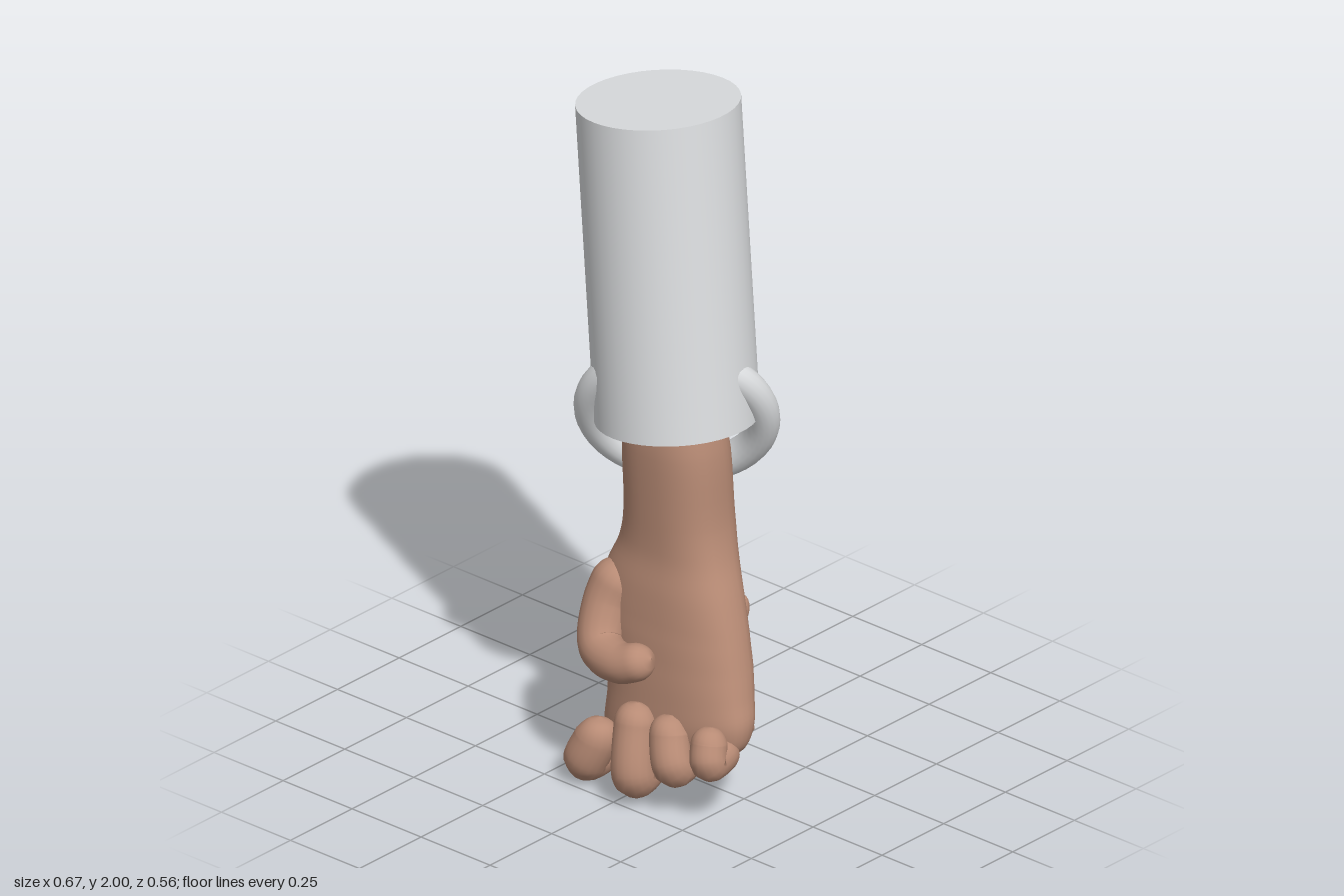
import * as THREE from 'three';
import { mergeVertices } from 'three/addons/utils/BufferGeometryUtils.js';

const V = (x, y, z) => new THREE.Vector3(x, y, z);

// Weld the seam and smooth the normals
function smooth(geo) {
  geo.deleteAttribute('uv');
  geo.deleteAttribute('normal');
  const g = mergeVertices(geo, 1e-5);
  g.computeVertexNormals();
  return g;
}

// Tapered tube with rounded ends along a curve through the given points
function digit(points, r0, r1) {
  const curve = new THREE.CatmullRomCurve3(points.map((p) => V(...p)));
  const n = 48, sides = 18, len = curve.getLength();
  const geo = new THREE.TubeGeometry(curve, n, 1, sides, false);
  const pos = geo.attributes.position, v = V(0, 0, 0);
  for (let i = 0; i <= n; i++) {
    const t = i / n, c = curve.getPointAt(t);
    const r = r0 + (r1 - r0) * t;
    const k = Math.max(0, 1 - Math.min(t, 1 - t) * len / r);
    const radius = Math.max(0.002, r * Math.sqrt(1 - k * k));
    for (let j = 0; j <= sides; j++) {
      const a = i * (sides + 1) + j;
      v.fromBufferAttribute(pos, a).sub(c).multiplyScalar(radius).add(c);
      pos.setXYZ(a, v.x, v.y, v.z);
    }
  }
  return smooth(geo);
}

// Forearm and palm lofted from rounded cross-sections
function handBody() {
  // y, left x, right x, back z, front z, slope of the section across x
  const rows = [
    [1.12, -0.13, 0.13, -0.11, 0.11, 0],
    [1.0, -0.15, 0.155, -0.125, 0.12, 0],
    [0.8, -0.15, 0.168, -0.13, 0.115, 0],
    [0.7, -0.165, 0.19, -0.12, 0.115, 0],
    [0.6, -0.205, 0.228, -0.105, 0.13, 0],
    [0.5, -0.22, 0.262, -0.09, 0.14, 0],
    [0.4, -0.192, 0.288, -0.075, 0.15, 0.05],
    [0.3, -0.17, 0.308, -0.055, 0.16, 0.15],
    [0.2, -0.175, 0.325, -0.03, 0.165, 0.25],
    [0.13, -0.17, 0.31, 0.0, 0.15, 0.3],
    [0.1, -0.1, 0.24, 0.04, 0.11, 0.3],
  ];
  const a = new THREE.CatmullRomCurve3(rows.map((r) => V(r[0], r[1], r[2])));
  const b = new THREE.CatmullRomCurve3(rows.map((r) => V(r[3], r[4], r[5])));
  const n = 50, sides = 40, pos = [], index = [];
  for (let i = 0; i <= n; i++) {
    const p = a.getPoint(i / n), q = b.getPoint(i / n);
    for (let j = 0; j < sides; j++) {
      const t = (j / sides) * Math.PI * 2, c = Math.cos(t), s = Math.sin(t);
      const x = (p.y + p.z) / 2 + (p.z - p.y) / 2 * Math.sign(c) * Math.abs(c) ** 0.85;
      const z = (q.x + q.y) / 2 + (q.y - q.x) / 2 * Math.sign(s) * Math.abs(s) ** 0.85;
      pos.push(x, p.x + q.z * (x - 0.07), z);
    }
  }
  for (let i = 0; i < n; i++) for (let j = 0; j < sides; j++) {
    const k = (j + 1) % sides, u = i * sides, w = u + sides;
    index.push(u + j, u + k, w + j, u + k, w + k, w + j);
  }
  // Close the lower end
  for (let j = 1; j < sides - 1; j++) index.push(n * sides, n * sides + j, n * sides + j + 1);
  const geo = new THREE.BufferGeometry();
  geo.setAttribute('position', new THREE.Float32BufferAttribute(pos, 3));
  geo.setIndex(index);
  geo.computeVertexNormals();
  return geo;
}

export function createModel() {
  const model = new THREE.Group();
  const cloth = new THREE.MeshStandardMaterial({ color: 0xdcdee0 });
  cloth.name = 'pale grey cloth';
  const skin = new THREE.MeshStandardMaterial({ color: 0xb88b75 });
  skin.name = 'brown skin';
  const add = (name, geo, mat) => {
    const mesh = new THREE.Mesh(geo, mat);
    mesh.name = name;
    model.add(mesh);
    return mesh;
  };

  // Leaning sleeve
  const low = V(-0.015, 1.065, -0.025), high = V(-0.115, 1.977, -0.06);
  const axis = high.clone().sub(low);
  const sleeve = add('sleeve', new THREE.CylinderGeometry(0.225, 0.225, axis.length(), 40), cloth);
  sleeve.position.copy(low).add(high).multiplyScalar(0.5);
  sleeve.quaternion.setFromUnitVectors(V(0, 1, 0), axis.normalize());

  // Tilted cuff ring
  const cuff = add('cuffRing', new THREE.TorusGeometry(0.235, 0.046, 18, 48), cloth);
  cuff.position.set(-0.02, 1.075, -0.03);
  cuff.quaternion.setFromUnitVectors(V(0, 0, 1), V(-0.52, 0.42, -0.74).normalize());

  add('forearmAndPalm', handBody(), skin);

  // Thumb folded across the palm
  add('thumb', digit([[-0.12, 0.62, 0.05], [-0.145, 0.5, 0.11], [-0.115, 0.41, 0.17],
    [-0.02, 0.4, 0.2], [0.08, 0.44, 0.185]], 0.08, 0.05), skin);

  // Curled fingers: knuckle, middle joint, tip, radius
  const fingers = [
    ['indexFinger', [-0.125, 0.12, 0.055], [-0.145, 0.068, 0.195], [-0.112, 0.145, 0.19], 0.066],
    ['middleFinger', [0.005, 0.13, 0.04], [0.045, 0.085, 0.215], [0.022, 0.235, 0.185], 0.063],
    ['ringFinger', [0.13, 0.185, 0.035], [0.165, 0.145, 0.19], [0.132, 0.23, 0.17], 0.06],
    ['littleFinger', [0.265, 0.215, 0.075], [0.28, 0.19, 0.175], [0.267, 0.24, 0.16], 0.054],
  ];
  for (const [name, k, m, t, r] of fingers) {
    const mid = [(k[0] + m[0]) / 2, (k[1] + m[1]) / 2 - 0.01, (k[2] + m[2]) / 2];
    add(name, digit([k, mid, m, t, [t[0], t[1] + r * 0.8, t[2] - 0.01]], r, r * 0.92), skin);
  }

  // Small raised bumps on the back of the hand
  const bumps = [
    [0.19, 0.54, -0.06, 0.02, 0.04], [0.275, 0.24, 0.02, 0.026, 0.02],
    [0.12, 0.215, -0.025, 0.032, 0.022], [-0.14, 0.1, -0.005, 0.038, 0.02],
  ];
  for (const [x, y, z, w, h] of bumps) {
    const bump = add('handBump', new THREE.SphereGeometry(1, 14, 10), skin);
    bump.position.set(x, y, z);
    bump.scale.set(w, h, 0.02);
  }
  return model;
}
